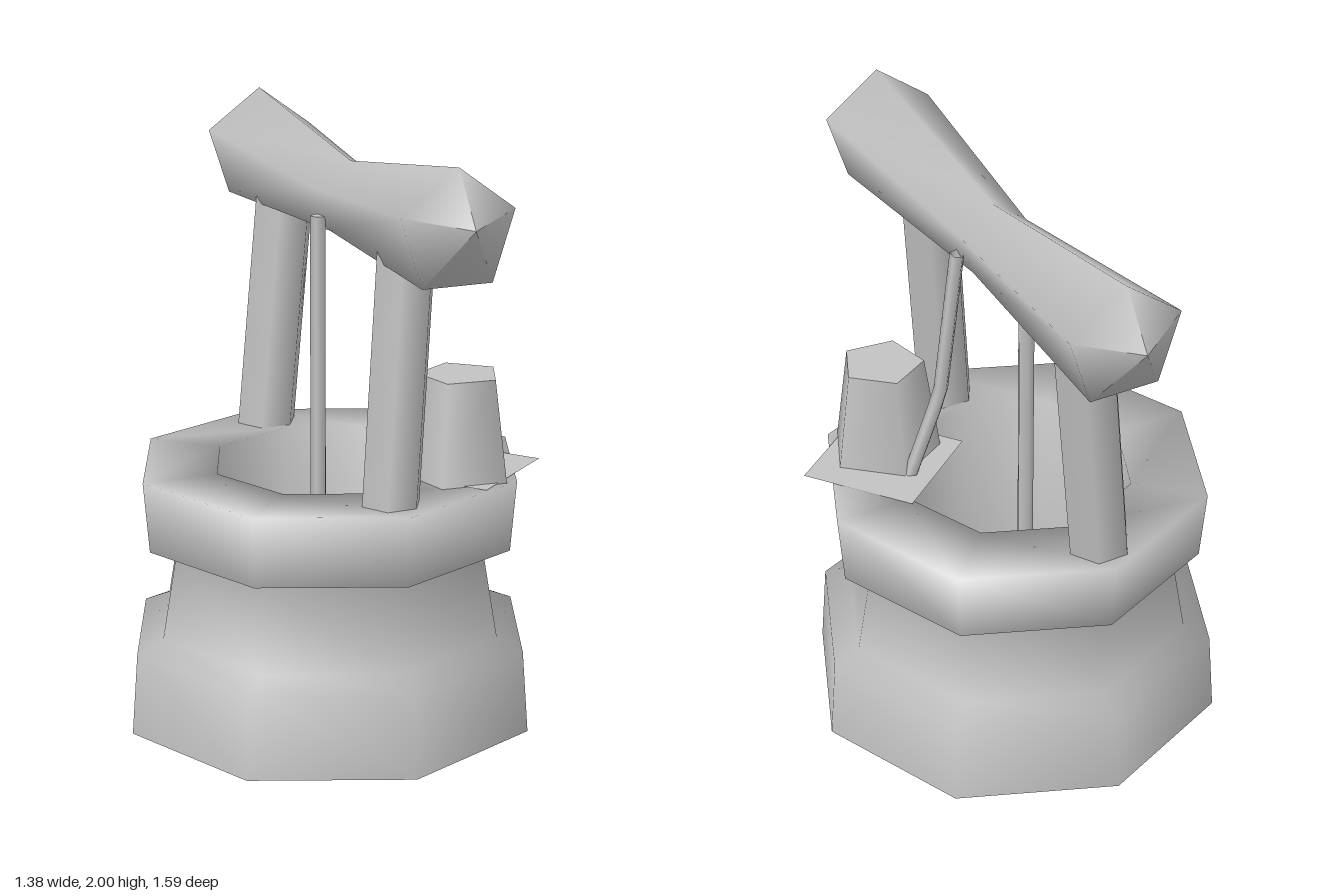
import * as THREE from 'three';

const stone = new THREE.MeshStandardMaterial({ color: 0xc2c2c2, side: THREE.DoubleSide });
stone.name = 'stone grey';

function createPart(name, geometry) {
  const mesh = new THREE.Mesh(geometry, stone);
  mesh.name = name;
  return mesh;
}

// Straight round part between two points
function rod(name, from, to, radius, sides) {
  const a = new THREE.Vector3(...from), b = new THREE.Vector3(...to);
  const dir = b.clone().sub(a);
  const mesh = createPart(name, new THREE.CylinderGeometry(radius, radius, dir.length(), sides));
  mesh.position.copy(a).add(b).multiplyScalar(0.5);
  mesh.quaternion.setFromUnitVectors(new THREE.Vector3(0, 1, 0), dir.normalize());
  return mesh;
}

// Five-sided beam, thin in the middle, with a blunt point at each end
function beamGeometry() {
  const axis = new THREE.Vector3(0.5, 0, -0.866);
  const across = new THREE.Vector3(0.866, 0, 0.5);
  const sections = [
    { along: -0.92, y: 1.83, r: 0 },
    { along: -0.8, y: 1.8, r: 0.2 },
    { along: 0, y: 1.755, r: 0.125 },
    { along: 0.8, y: 1.8, r: 0.2 },
    { along: 0.92, y: 1.83, r: 0 },
  ];
  const positions = [], index = [], sides = 5;
  for (const { along, y, r } of sections) {
    for (let i = 0; i < sides; i++) {
      const t = (i / sides) * Math.PI * 2;
      const p = new THREE.Vector3(0.06, y + r * Math.cos(t), -0.005)
        .addScaledVector(axis, along)
        .addScaledVector(across, r * Math.sin(t));
      positions.push(p.x, p.y, p.z);
    }
  }
  for (let s = 0; s < sections.length - 1; s++) {
    for (let i = 0; i < sides; i++) {
      const a = s * sides + i, b = s * sides + (i + 1) % sides;
      const c = a + sides, d = b + sides;
      if (sections[s].r > 0) index.push(a, b, c);
      if (sections[s + 1].r > 0) index.push(b, d, c);
      // Close the pointed ends with single triangles
      if (sections[s].r > 0 && sections[s + 1].r === 0) continue;
    }
  }
  const g = new THREE.BufferGeometry();
  g.setAttribute('position', new THREE.Float32BufferAttribute(positions, 3));
  g.setIndex(index);
  g.computeVertexNormals();
  return g;
}

export function createModel() {
  const well = new THREE.Group();
  well.name = 'well';

  // Eight-sided wall: outside, rim, then the shaft inside
  const profile = [
    [0.714, 0], [0.692, 0.28], [0.6, 0.32], [0.55, 0.6],
    [0.64, 0.63], [0.66, 0.87], [0.4, 0.87], [0.4, 0],
  ].map(([r, y]) => new THREE.Vector2(r, y));
  const turn = Math.PI / 12;
  const wall = createPart('wall', new THREE.LatheGeometry(profile, 8, turn));
  wall.position.z = -0.05;
  well.add(wall);

  // Floor of the shaft
  const floor = createPart('shaftFloor', new THREE.CircleGeometry(0.4, 8, turn));
  floor.rotation.x = -Math.PI / 2;
  floor.position.set(0, 0.1, -0.05);
  well.add(floor);

  // Posts and the beam across them
  well.add(rod('frontPost', [-0.255, 0.86, 0.385], [-0.175, 1.72, 0.385], 0.1, 6));
  well.add(rod('backPost', [0.245, 0.86, -0.51], [0.335, 1.72, -0.485], 0.105, 6));
  well.add(createPart('beam', beamGeometry()));

  // Rope hanging down the shaft
  well.add(rod('rope', [-0.01, 0.05, -0.085], [-0.01, 1.7, -0.085], 0.028, 5));

  // Bent rope end leading from the beam to the bucket
  const path = new THREE.CurvePath();
  const bends = [[0.22, 0.87, 0.22], [0.155, 1.18, 0.14], [0.13, 1.71, 0.085]]
    .map((p) => new THREE.Vector3(...p));
  path.add(new THREE.LineCurve3(bends[0], bends[1]));
  path.add(new THREE.LineCurve3(bends[1], bends[2]));
  well.add(createPart('ropeEnd', new THREE.TubeGeometry(path, 10, 0.025, 5)));

  // Upturned bucket on a thin square board
  const bucket = createPart('bucket', new THREE.CylinderGeometry(0.14, 0.19, 0.34, 5));
  bucket.position.set(0.137, 1.04, 0.38);
  well.add(bucket);
  const board = createPart('board', new THREE.PlaneGeometry(0.398, 0.398));
  board.rotation.set(-Math.PI / 2, 0, 0.126);
  board.position.set(0.197, 0.874, 0.342);
  well.add(board);

  return well;
}
